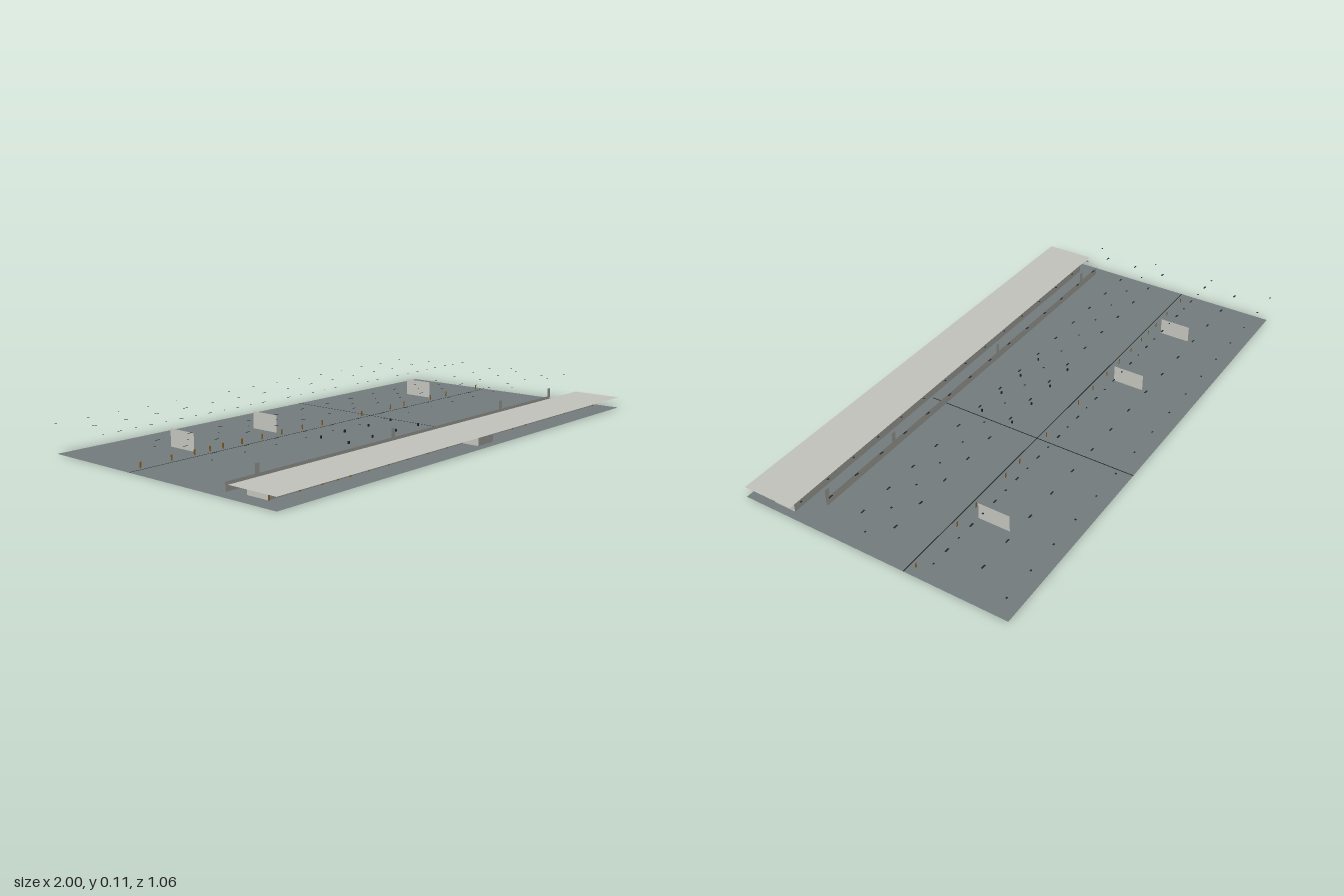
import * as THREE from 'three';

function mat(name, color) {
  const m = new THREE.MeshStandardMaterial({ color, side: THREE.DoubleSide });
  m.name = name;
  return m;
}

export function createModel() {
  const group = new THREE.Group();
  const slate = mat('slate floor', 0x747d7f);
  const stone = mat('pale stone', 0xc4c4be);
  const dark = mat('charcoal', 0x20282c);
  const orange = mat('orange', 0xc98a2e);

  const place = (geo, m, name, x, y, z) => {
    const mesh = new THREE.Mesh(geo, m);
    mesh.name = name;
    mesh.position.set(x, y, z);
    group.add(mesh);
    return mesh;
  };
  // Horizontal sheet given by its bounds
  const sheet = (name, m, x0, x1, z0, z1, y) =>
    place(new THREE.PlaneGeometry(x1 - x0, z1 - z0).rotateX(-Math.PI / 2), m, name, (x0 + x1) / 2, y, (z0 + z1) / 2);
  // Upright sheet facing z
  const wallX = (name, m, x0, x1, z, y0, y1) =>
    place(new THREE.PlaneGeometry(x1 - x0, y1 - y0), m, name, (x0 + x1) / 2, (y0 + y1) / 2, z);
  // Upright sheet facing x
  const wallZ = (name, m, x, z0, z1, y0, y1) =>
    place(new THREE.PlaneGeometry(z1 - z0, y1 - y0).rotateY(Math.PI / 2), m, name, x, (y0 + y1) / 2, (z0 + z1) / 2);

  // Floor with its two joints, and the canopy along the front
  sheet('floor', slate, -0.995, 0.99, -0.53, 0.53, 0);
  sheet('crossJoint', dark, -0.995, 0.99, -0.138, -0.134, 0.001);
  sheet('lengthJoint', dark, 0.195, 0.199, -0.53, 0.33, 0.001);
  sheet('canopy', stone, -0.995, 0.99, 0.33, 0.53, 0.043);

  // Long room under the canopy
  wallX('frontWall', stone, -0.93, 0.96, 0.43, 0, 0.042);
  wallX('backWall', stone, -0.93, 0.96, 0.34, 0, 0.042);
  for (const x of [-0.93, -0.33, 0, 0.49, 0.96]) wallZ('roomDivider', stone, x, 0.34, 0.43, 0, 0.042);

  // Entrance porch
  for (const x of [0.04, 0.13]) wallZ('porchSide', stone, x, 0.43, 0.495, 0, 0.04);
  wallX('porchFront', stone, 0.04, 0.13, 0.495, 0, 0.04);
  wallZ('porchDoor', dark, 0.085, 0.448, 0.452, 0, 0.04);

  // Low inner wall with taller posts
  wallX('innerWall', stone, -0.95, 0.88, 0.268, 0, 0.032);
  for (const x of [-0.82, -0.16, 0.51, 0.87]) wallX('wallPost', stone, x - 0.01, x + 0.01, 0.271, 0, 0.066);

  // Free-standing partitions
  for (const x of [-0.67, -0.27, 0.66]) wallZ('partition', stone, x, -0.32, -0.197, 0, 0.066);

  // Orange markers on the front wall and across the floor
  const markers = [-0.93, -0.8, -0.7, -0.63, -0.57, -0.48, -0.38, -0.28, -0.17, -0.06, 0.17, 0.35, 0.44, 0.62, 0.73, 0.955];
  for (const x of markers) {
    wallX('wallMarker', orange, x - 0.004, x + 0.004, 0.433, 0, 0.02);
    wallX('floorMarker', orange, x - 0.004, x + 0.004, -0.16, 0, 0.02);
  }

  // Small floor pedestals
  for (const z of [0.125, -0.01])
    for (const x of [-0.23, -0.1, 0.035, 0.168])
      place(new THREE.BoxGeometry(0.006, 0.01, 0.005), dark, 'pedestal', x, 0.005, z);

  // Overhead lamps in staggered rows
  const lampY = 0.107;
  for (const z of [-0.4, -0.265, -0.066, 0.066, 0.2])
    for (let i = 0; i < 15; i++) {
      const x = -0.93 + i * 0.1326;
      sheet('lamp', dark, x - 0.009, x + 0.009, z - 0.003, z + 0.003, lampY);
    }
  for (const z of [-0.53, -0.265, 0, 0.265])
    for (let i = 0; i < 16; i++) {
      const x = -0.996 + i * 0.1328;
      sheet('smallLamp', dark, x - 0.004, x + 0.004, z - 0.003, z + 0.003, lampY);
    }
  return group;
}
